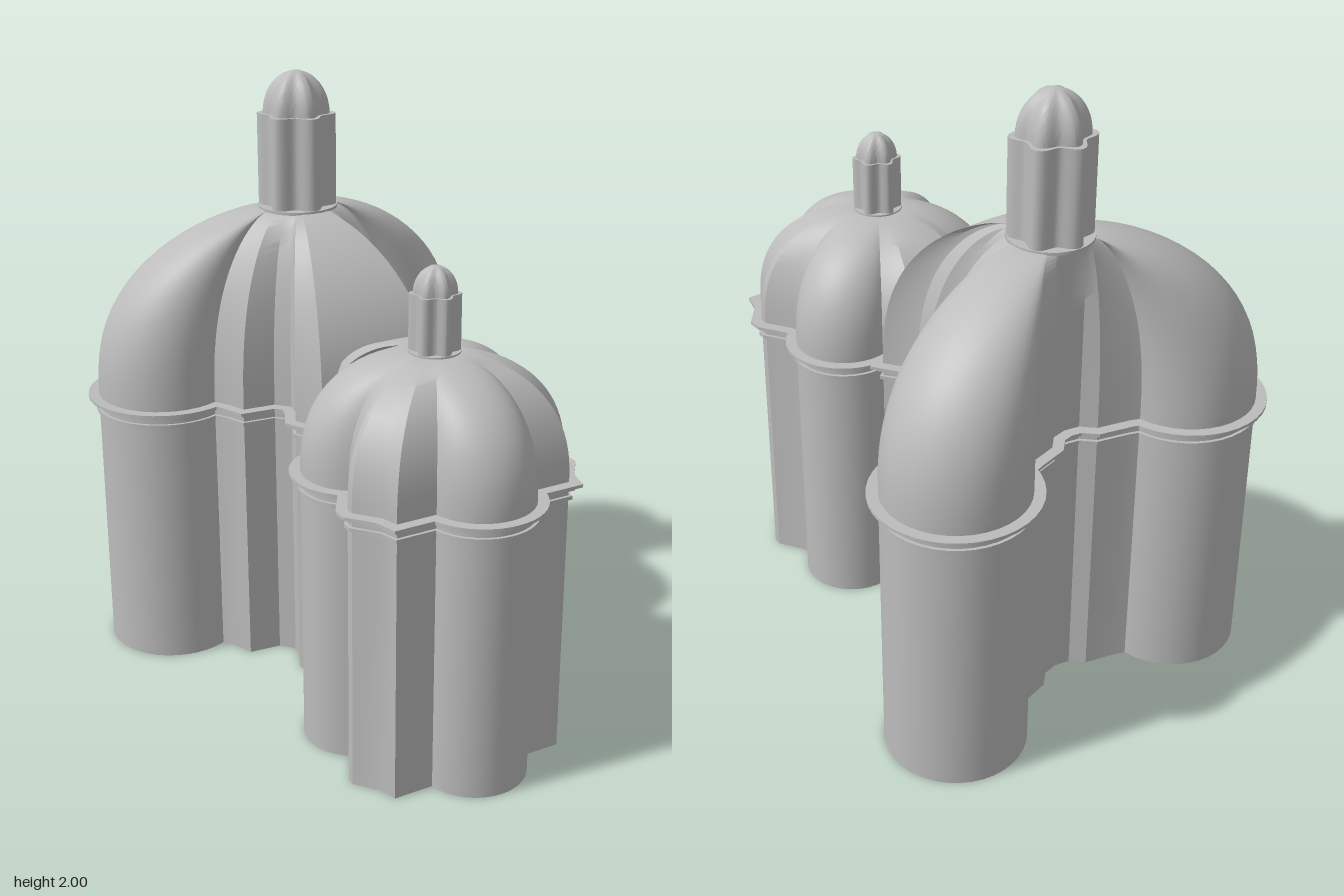
import * as THREE from 'three';
import { toCreasedNormals } from 'three/addons/utils/BufferGeometryUtils.js';

const stone = new THREE.MeshStandardMaterial({ color: 0xbcbcbc, side: THREE.DoubleSide });
stone.name = 'stone';

// Skin a stack of closed rings of [x, y, z] points
function skin(rings) {
  const pos = [];
  const n = rings[0].length;
  for (let j = 0; j < rings.length - 1; j++) {
    for (let i = 0; i < n; i++) {
      const k = (i + 1) % n;
      const a = rings[j][i], b = rings[j][k], c = rings[j + 1][i], d = rings[j + 1][k];
      pos.push(...a, ...b, ...d, ...a, ...d, ...c);
    }
  }
  const geo = new THREE.BufferGeometry();
  geo.setAttribute('position', new THREE.Float32BufferAttribute(pos, 3));
  return toCreasedNormals(geo, 0.5);
}

function add(parent, name, geo) {
  const mesh = new THREE.Mesh(geo, stone);
  mesh.name = name;
  parent.add(mesh);
  return mesh;
}

// Arc of plan points, angles in degrees from +x towards the back
function arc(cx, cz, r, a0, a1, n) {
  return Array.from({ length: n + 1 }, (_, i) => {
    const a = THREE.MathUtils.degToRad(a0 + (a1 - a0) * i / n);
    return [cx + r * Math.cos(a), cz - r * Math.sin(a)];
  });
}

// Half plan from front centre to back centre becomes a closed plan
const mirror = half => [...half, ...half.slice(1, -1).reverse().map(([x, z]) => [-x, z])];

// Push a plan outwards by d with mitred corners
function offset(plan, d) {
  const n = plan.length;
  const normal = (p, q) => new THREE.Vector2(p[1] - q[1], q[0] - p[0]).normalize();
  return plan.map((p, i) => {
    const n0 = normal(plan[(i + n - 1) % n], p), n1 = normal(p, plan[(i + 1) % n]);
    const m = n0.clone().add(n1).normalize();
    const s = d / Math.max(0.75, m.dot(n1));
    return [p[0] + m.x * s, p[1] + m.y * s];
  });
}

// Sweep a profile of [offset, y] pairs round a plan
const sweep = (plan, profile) =>
  skin(profile.map(([d, y]) => offset(plan, d).map(([x, z]) => [x, y, z])));

// Dome: the plan rises and shrinks to a small round ring under the lantern
function dome(plan, cz, y0, y1, ringR, power) {
  const steps = 22;
  const rings = [];
  for (let j = 0; j <= steps; j++) {
    const t = Math.sin(j / steps * Math.PI / 2);
    const s = Math.pow(Math.max(0, 1 - Math.pow(t, 2.5)), power);
    rings.push(plan.map(([x, z]) => {
      const dz = z - cz, len = Math.hypot(x, dz);
      const r = Math.min(ringR, len);
      const f = r / len * (1 - s) + s;
      return [x * f, y0 + (y1 - y0) * t, cz + dz * f];
    }));
  }
  return skin(rings);
}

// Six-petalled ring with petals towards front and back
function star(r, y, depth) {
  return Array.from({ length: 72 }, (_, i) => {
    const a = i / 72 * Math.PI * 2;
    const k = r * (1 - depth * (0.5 - 0.5 * Math.cos(6 * a)));
    return [k * Math.sin(a), y, k * Math.cos(a)];
  });
}

function lantern(name, cz, r, y0, y1, y2) {
  const g = new THREE.Group();
  g.name = name;
  g.position.z = cz;
  const base = add(g, 'lanternBase', new THREE.CylinderGeometry(r * 1.02, r * 1.02, 0.01, 36));
  base.position.y = y0;
  add(g, 'lanternShaft', skin([star(r, y0, 0.24), star(r, y1, 0.24), star(0.001, y1, 0)]));
  // Ribbed cap
  const cap = [];
  for (let j = 0; j <= 12; j++) {
    const a = j / 12 * Math.PI / 2;
    cap.push(star(Math.max(0.0005, r * 0.85 * Math.cos(a)), y1 + (y2 - y1) * Math.sin(a), 0.2));
  }
  add(g, 'lanternCap', skin(cap));
  return g;
}

export function createModel() {
  const model = new THREE.Group();
  model.name = 'twinDomedBuilding';

  // Half plans: front chapel, neck, rear hall
  const front = [
    ...arc(0, 0.675, 0.17, -90, -10, 10),
    [0.3, 0.705], [0.315, 0.65], [0.375, 0.575], [0.375, 0.55], [0.325, 0.47],
    ...arc(0.215, 0.3, 0.165, -55, 112, 18),
    [0.15, 0.133], [0.21, 0.09], [0.17, 0.035],
  ];
  const neck = [0.15, -0.02];
  const rear = [
    [0.165, -0.07], [0.195, -0.13], [0.16, -0.2], [0.15, -0.25],
    [0.19, -0.295], [0.3, -0.305], [0.325, -0.37],
    ...arc(0.45, -0.62, 0.225, -115, 170, 30),
    [0.19, -0.645], [0.09, -0.62], [0.05, -0.58], [0, -0.57],
  ];
  const whole = mirror([...front, neck, ...rear]);

  // Hollow walls, open at the bottom
  add(model, 'walls', sweep(whole,
    [[-0.02, 0], [0, 0], [0, 0.92], [-0.02, 0.92], [-0.02, 0]]));

  // Cornice and the thin moulding below it
  add(model, 'cornice', sweep(whole,
    [[0, 0.9], [0.016, 0.9], [0.016, 0.912], [0.035, 0.914], [0.035, 0.924], [-0.005, 0.924]]));
  add(model, 'moulding', sweep(whole,
    [[0, 0.868], [0.01, 0.868], [0.01, 0.88], [0, 0.88]]));

  // Domes, each closed straight across at the neck
  add(model, 'frontDome', dome(mirror([...front, neck, [0, -0.02]]), 0.41, 0.92, 1.305, 0.07, 0.52));
  add(model, 'rearDome',
    dome(mirror([[0, 0.09], [0.21, 0.09], [0.17, 0.035], neck, ...rear]), -0.475, 0.92, 1.55, 0.115, 0.65));

  // Lanterns
  model.add(lantern('frontLantern', 0.41, 0.079, 1.305, 1.485, 1.57));
  model.add(lantern('rearLantern', -0.475, 0.13, 1.55, 1.86, 2.0));
  return model;
}
